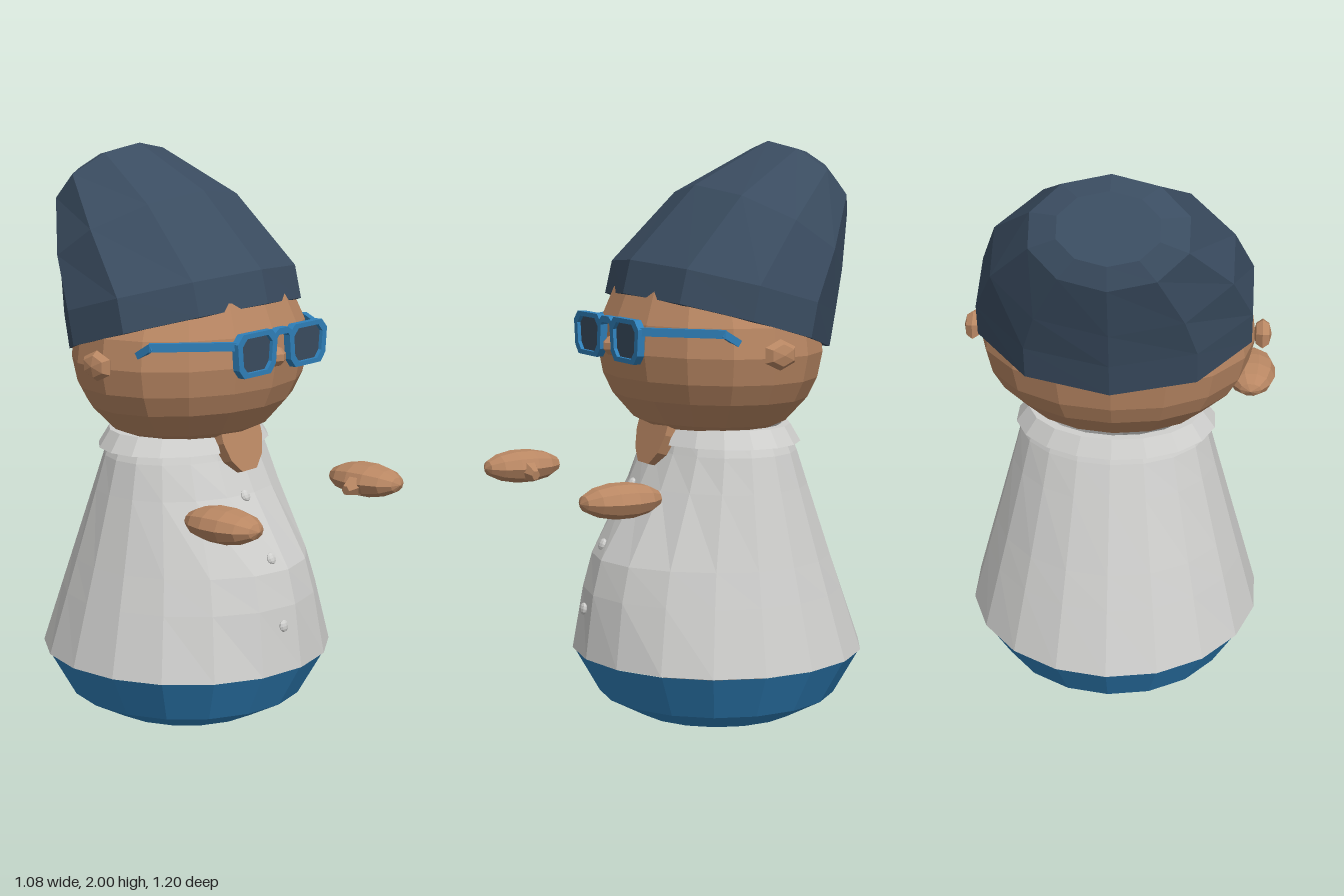
import * as THREE from 'three';

const flat = (name, color, side = THREE.FrontSide) => {
  const m = new THREE.MeshStandardMaterial({ color, flatShading: true, side });
  m.name = name;
  return m;
};

// Surface through closed rings listed bottom to top; at(ring, phi) returns [x, y, z], phi = 0 is the front.
function loft(rings, sides, at, capTop = false) {
  const pos = [], idx = [];
  rings.forEach((r) => {
    for (let j = 0; j < sides; j++) pos.push(...at(r, (j / sides) * Math.PI * 2));
  });
  for (let i = 0; i < rings.length - 1; i++) {
    for (let j = 0; j < sides; j++) {
      const a = i * sides + j, b = i * sides + ((j + 1) % sides);
      idx.push(a, b, a + sides, b, b + sides, a + sides);
    }
  }
  if (capTop) {
    const s = (rings.length - 1) * sides;
    for (let j = 1; j < sides - 1; j++) idx.push(s, s + j, s + j + 1);
  }
  const g = new THREE.BufferGeometry();
  g.setAttribute('position', new THREE.Float32BufferAttribute(pos, 3));
  g.setIndex(idx);
  g.computeVertexNormals();
  return g;
}

const poly = (pts) => new THREE.Shape(pts.map(([x, y]) => new THREE.Vector2(x, y)));

// Rectangle with cut corners
const octagon = (w, h, c) => [[-w + c, -h], [w - c, -h], [w, -h + c], [w, h - c], [w - c, h], [-w + c, h], [-w, h - c], [-w, -h + c]];

export function createModel() {
  const skin = flat('skin', 0xb98763);
  const white = flat('shirtWhite', 0xcfcfcd, THREE.DoubleSide);
  const blue = flat('blue', 0x2f80ba);
  const navy = flat('navy', 0x3a4c60, THREE.DoubleSide);
  const dark = flat('darkBase', 0x243039);

  const model = new THREE.Group();
  const add = (name, geo, mat, x = 0, y = 0, z = 0, parent = model) => {
    const m = new THREE.Mesh(geo, mat);
    m.name = name;
    m.position.set(x, y, z);
    parent.add(m);
    return m;
  };
  const CX = 0.02, CZ = -0.085;

  // Blue base with a dark underside
  add('base', loft([[0, 0.29], [0.07, 0.42], [0.225, 0.508]], 18,
    ([y, r], p) => [CX + r * Math.sin(p), y, CZ + r * Math.cos(p)]), blue);
  const sole = add('soleDisc', new THREE.CircleGeometry(0.29, 18, Math.PI / 2), dark, CX, 0, CZ);
  sole.rotation.x = Math.PI / 2;

  // Shirt: tapered cone, round to oval, with a belly bulge: [y, rx, rz, bulge]
  const shirt = [[0.22, 0.49, 0.49, 0], [0.228, 0.515, 0.515, 0], [0.45, 0.457, 0.436, 0.05], [0.57, 0.425, 0.393, 0.062],
    [0.82, 0.36, 0.303, 0.002], [0.94, 0.33, 0.26, -0.012], [1.03, 0.29, 0.22, 0]];
  add('shirt', loft(shirt, 18, ([y, rx, rz, b], p) => {
    const c = Math.max(0, Math.cos(p));
    return [CX + rx * Math.sin(p), y, CZ + rz * Math.cos(p) + b * c ** 3];
  }), white);

  // Collar band, open at the front
  const collar = new THREE.LatheGeometry(
    [[0.325, 0.975], [0.348, 0.97], [0.305, 1.03], [0.27, 1.03]].map(([x, y]) => new THREE.Vector2(x, y)),
    16, 0.33, Math.PI * 2 - 0.66);
  collar.scale(1, 1, 0.77);
  add('collar', collar, white, 0.015, 0, -0.09);

  // Skin showing in the open neck
  const neck = new THREE.ExtrudeGeometry(
    poly([[-0.04, -0.13], [0.04, -0.13], [0.085, -0.085], [0.108, -0.02], [0.108, 0.02], [-0.108, 0.02], [-0.108, -0.02], [-0.085, -0.085]]),
    { depth: 0.05, bevelEnabled: false });
  add('openNeck', neck, skin, 0.015, 1.01, 0.12).rotation.x = -0.28;

  // Buttons
  [[-0.035, 0.82, 0.225, -0.5], [-0.035, 0.615, 0.338, -0.45], [-0.05, 0.39, 0.405, -0.15]].forEach(([x, y, z, tilt]) => {
    const g = new THREE.SphereGeometry(0.021, 8, 6);
    g.scale(1, 1, 0.5);
    add('button', g, white, x, y, z).rotation.x = tilt;
  });

  // Head: squat rounded form, [y, scale]
  const head = [[0.99, 0.35], [1.02, 0.55], [1.045, 0.68], [1.13, 0.87], [1.2, 0.955], [1.29, 1], [1.39, 0.97], [1.5, 0.85], [1.6, 0.6]];
  add('head', loft(head, 16, ([y, s], p) => [0.012 + 0.47 * s * Math.sin(p), y, -0.055 + 0.37 * s * Math.cos(p)], true), skin);

  // Ears and nose
  for (const s of [-1, 1]) {
    const ear = new THREE.SphereGeometry(1, 6, 4);
    ear.rotateZ(Math.PI / 2);
    ear.scale(0.031, 0.052, 0.065);
    add('ear', ear, skin, 0.012 + s * 0.492, 1.305, -0.055);
  }
  const nose = new THREE.SphereGeometry(1, 8, 5);
  nose.scale(0.04, 0.036, 0.045);
  add('nose', nose, skin, 0.01, 1.31, 0.308);

  // Hat: tilted rings leaning back, [front z, front y, back z, back y, half width]
  const hat = [[0.25, 1.475, -0.42, 1.29, 0.45], [0.278, 1.487, -0.443, 1.28, 0.481], [0.25, 1.6, -0.465, 1.4, 0.481],
    [0, 1.85, -0.495, 1.53, 0.412], [-0.29, 2, -0.545, 1.72, 0.265], [-0.37, 1.98, -0.53, 1.8, 0.17]];
  add('hat', loft(hat, 10, ([fz, fy, bz, by, w], p) => {
    const t = (1 - Math.cos(p)) / 2;
    return [0.014 + w * Math.sin(p), fy + (by - fy) * t, fz + (bz - fz) * t];
  }, true), navy);

  // Glasses: two frames, lenses, bridge and bent arms
  const glasses = new THREE.Group();
  glasses.name = 'glasses';
  glasses.position.set(0.014, 1.34, 0.32);
  model.add(glasses);
  // Lower edge is narrower than the upper edge
  const taper = (pts) => pts.map(([x, y]) => [x * (y < 0 ? 0.92 : 1), y]);
  const bar = (name, a, b, h) => {
    const d = new THREE.Vector3().subVectors(b, a);
    const m = add(name, new THREE.BoxGeometry(0.02, h, d.length() + 0.012), blue, 0, 0, 0, glasses);
    m.position.copy(a).addScaledVector(d, 0.5);
    m.rotation.order = 'YXZ';
    m.rotation.y = Math.atan2(d.x, d.z);
    m.rotation.x = -Math.asin(d.y / d.length());
  };
  for (const s of [-1, 1]) {
    const rim = poly(taper(octagon(0.108, 0.074, 0.03)));
    rim.holes.push(new THREE.Path(poly(taper(octagon(0.082, 0.058, 0.025))).getPoints()));
    add('frame', new THREE.ExtrudeGeometry(rim, { depth: 0.026, bevelEnabled: false }), blue, s * 0.142, 0, 0, glasses);
    add('lens', new THREE.ShapeGeometry(poly(taper(octagon(0.084, 0.06, 0.025)))), navy, s * 0.142, 0, 0.013, glasses);
    const hinge = new THREE.Vector3(s * 0.235, 0.037, 0.012);
    const bend = new THREE.Vector3(s * 0.425, 0.035, -0.2);
    bar('arm', hinge, bend, 0.028);
    bar('armTip', bend, new THREE.Vector3(s * 0.425, 0.005, -0.25), 0.024);
  }
  const bridge = poly([[-0.05, 0.025], [-0.025, 0.05], [0.025, 0.05], [0.05, 0.025], [0.05, 0.055], [0.025, 0.072], [-0.025, 0.072], [-0.05, 0.055]]);
  add('bridge', new THREE.ExtrudeGeometry(bridge, { depth: 0.026, bevelEnabled: false }), blue, 0, 0, 0, glasses);

  // Floating hands with thumbs pointing inward
  for (const s of [-1, 1]) {
    const hand = new THREE.Group();
    hand.name = s < 0 ? 'rightHand' : 'leftHand';
    hand.position.set(-0.048 + s * 0.403, 0.84, 0.458);
    model.add(hand);
    const palm = new THREE.SphereGeometry(1, 10, 7);
    palm.rotateX(Math.PI / 2);
    palm.scale(0.092, 0.06, 0.146);
    add('palm', palm, skin, 0, 0, 0, hand);
    const thumb = new THREE.CylinderGeometry(0.018, 0.045, 0.075, 6);
    thumb.scale(1, 1, 0.85);
    const t = add('thumb', thumb, skin, -s * 0.088, -0.012, 0, hand);
    t.rotation.z = s * (Math.PI / 2 + 0.15);
  }
  return model;
}
